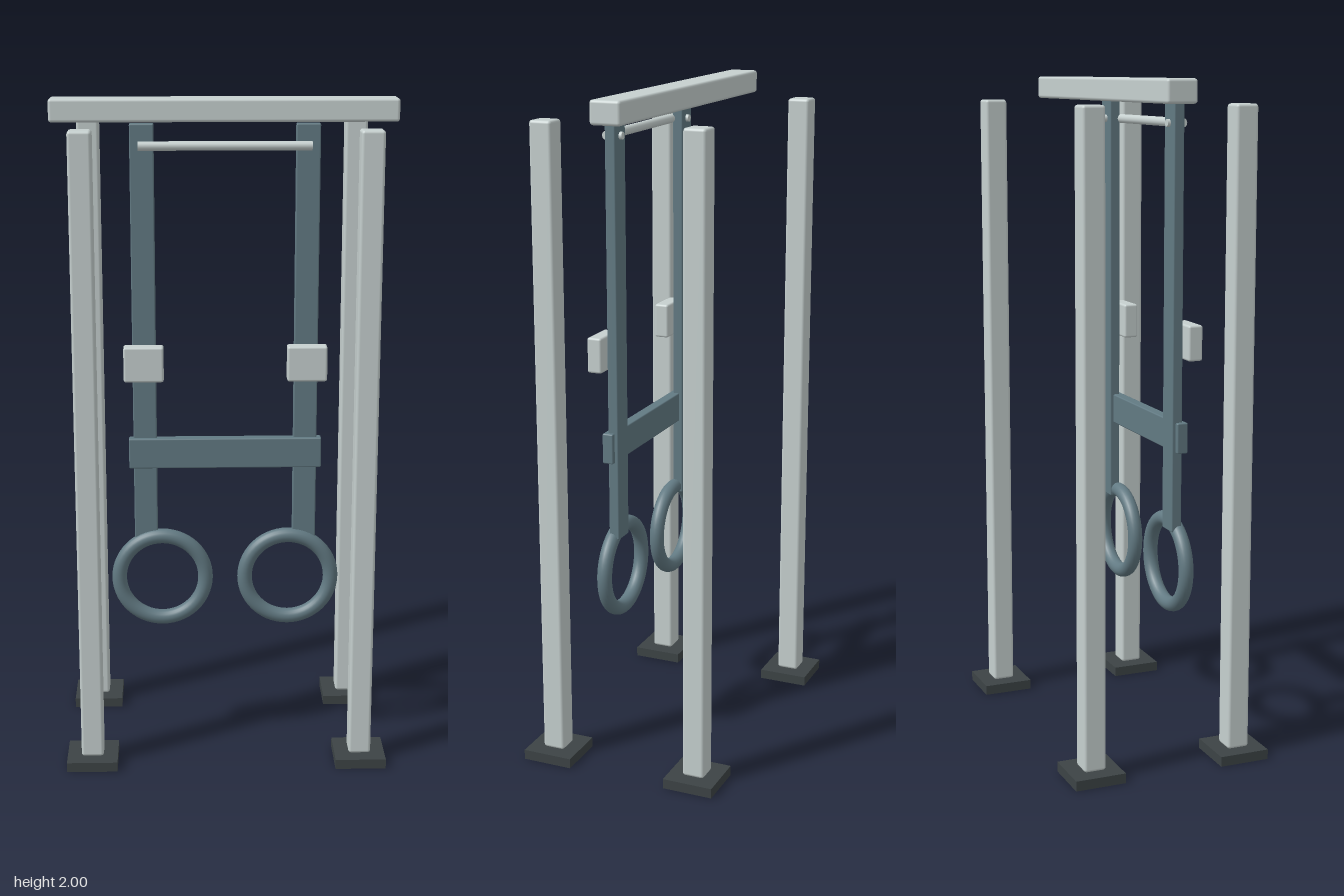
import * as THREE from 'three';
import { RoundedBoxGeometry } from 'three/addons/geometries/RoundedBoxGeometry.js';

const paint = (color) => new THREE.MeshStandardMaterial({ color });

export function createModel() {
  const model = new THREE.Group();
  const pale = paint(0xc6d0cf);
  const slate = paint(0x627a83);
  const dark = paint(0x3c4345);

  function add(name, geometry, material, x, y, z) {
    const mesh = new THREE.Mesh(geometry, material);
    mesh.name = name;
    mesh.position.set(x, y, z);
    model.add(mesh);
    return mesh;
  }
  const rounded = (w, h, d, r) => new RoundedBoxGeometry(w, h, d, 2, r);

  // Four posts on square feet
  for (const x of [-0.41, 0.41]) {
    for (const z of [-0.23, 0.23]) {
      add('foot', new THREE.BoxGeometry(0.154, 0.03, 0.154), dark, x, 0.015, z);
      add('post', rounded(0.068, 1.9, 0.068, 0.009), pale, x, 0.98, z);
    }
  }

  // Top beam
  add('topBeam', rounded(1.02, 0.068, 0.092, 0.009), pale, 0, 1.966, 0);

  // Hanging straps with pads, rings and bolts
  for (const side of [-1, 1]) {
    add('strap', rounded(0.07, 1.265, 0.032, 0.004), slate, side * 0.24, 1.3025, 0.098);
    add('pad', rounded(0.118, 0.106, 0.045, 0.007), pale, side * 0.241, 1.24, 0.1445);
    add('ring', new THREE.TorusGeometry(0.132, 0.0225, 20, 56), slate, side * 0.192, 0.558, 0.108);
    const bolt = add('bolt', new THREE.CylinderGeometry(0.011, 0.011, 0.03, 16), pale, side * 0.239, 1.873, 0.088);
    bolt.rotation.x = Math.PI / 2;
  }

  // Flat band joining the straps
  add('crossBand', rounded(0.577, 0.092, 0.034, 0.004), slate, 0, 0.957, 0.11);

  // Thin grip bar near the top
  const bar = add('gripBar', new THREE.CylinderGeometry(0.0135, 0.0135, 0.5, 20), pale, 0, 1.873, 0.12);
  bar.rotation.z = Math.PI / 2;

  return model;
}
